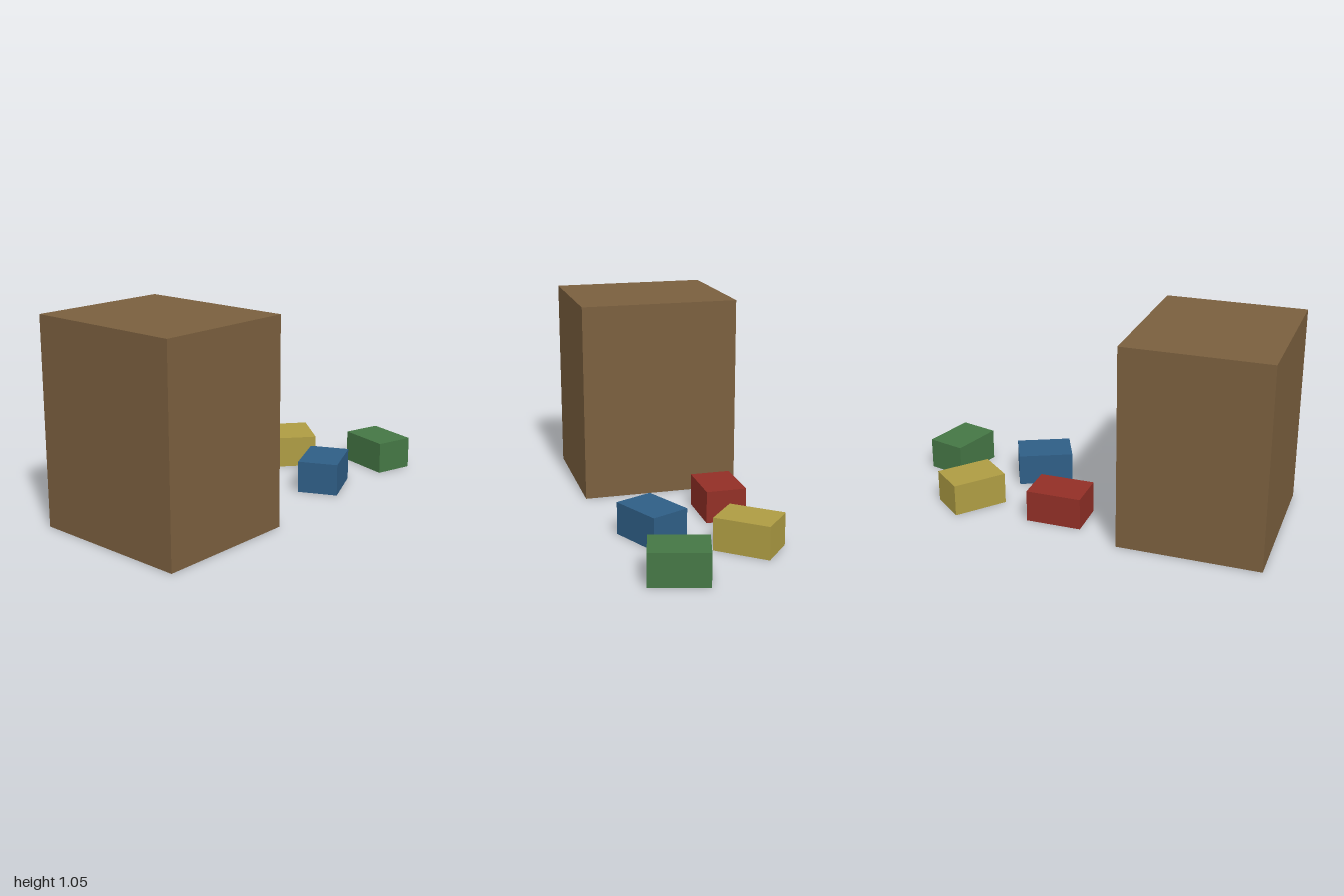
import * as THREE from 'three';

function paint(name, color) {
  const material = new THREE.MeshStandardMaterial({ color });
  material.name = name;
  return material;
}

// A box standing on the ground, turned about the vertical axis
function standingBox(name, material, [w, h, d], x, z, degrees = 0) {
  const mesh = new THREE.Mesh(new THREE.BoxGeometry(w, h, d), material);
  mesh.name = name;
  mesh.position.set(x, h / 2, z);
  mesh.rotation.y = THREE.MathUtils.degToRad(degrees);
  return mesh;
}

export function createModel() {
  const group = new THREE.Group();
  group.name = 'crateAndBricks';

  // Tall crate
  group.add(standingBox('crate', paint('brown', 0x7a5f3e), [0.735, 1.05, 0.84], -0.6325, 0));

  // Small bricks in two staggered rows, each turned 25 degrees further
  const colours = [['red', 0x922f26], ['blue', 0x2f5e86], ['yellow', 0xae9c43], ['green', 0x457745]];
  colours.forEach(([name, hex], i) => {
    const x = 0.105 + i * 0.2517;
    const z = i % 2 ? 0.209 : -0.211;
    group.add(standingBox(name + 'Brick', paint(name, hex), [0.29, 0.168, 0.21], x, z, i * 25));
  });

  return group;
}
